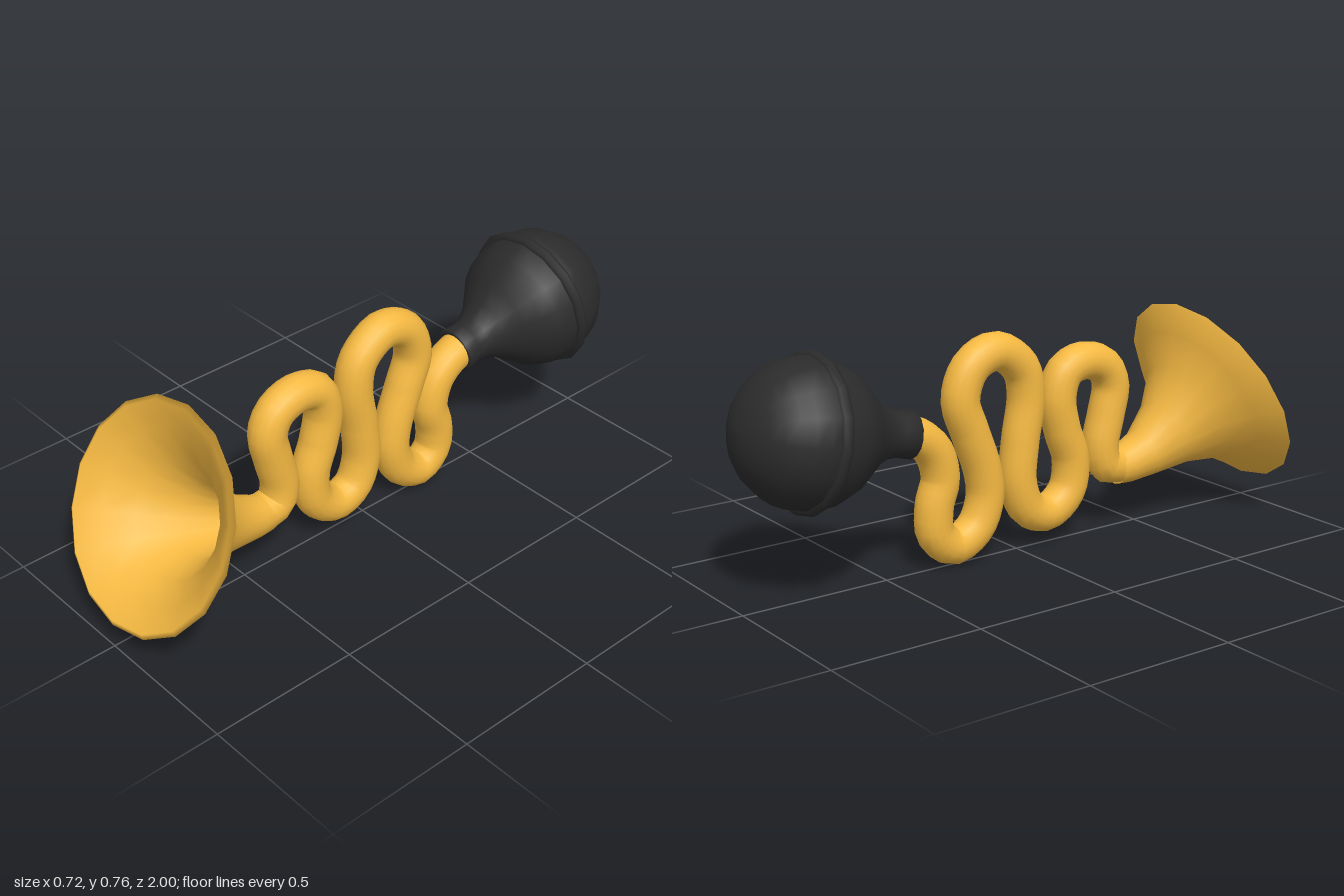
import * as THREE from 'three';

const brass = new THREE.MeshStandardMaterial({ color: 0xf5b942, side: THREE.DoubleSide });
const rubber = new THREE.MeshStandardMaterial({ color: 0x2b2b2b, side: THREE.DoubleSide });
const SIDES = 16;

// Skin round cross-sections [z, y, radius, tilt in degrees], listed from back to front
function loft(rings) {
  const pos = [], index = [];
  rings.forEach(([z, y, r, deg], i) => {
    const t = THREE.MathUtils.degToRad(deg);
    for (let j = 0; j < SIDES; j++) {
      const a = (j / SIDES) * Math.PI * 2, up = r * Math.sin(a);
      pos.push(r * Math.cos(a), y + up * Math.cos(t), z - up * Math.sin(t));
      if (i === rings.length - 1) continue;
      const k = (j + 1) % SIDES, p = i * SIDES, q = p + SIDES;
      index.push(p + j, p + k, q + j, p + k, q + k, q + j);
    }
  });
  const geo = new THREE.BufferGeometry();
  geo.setAttribute('position', new THREE.Float32BufferAttribute(pos, 3));
  geo.setIndex(index);
  geo.computeVertexNormals();
  return geo;
}

function add(parent, name, geometry, material) {
  const mesh = new THREE.Mesh(geometry, material);
  mesh.name = name;
  parent.add(mesh);
  return mesh;
}

export function createModel() {
  const group = new THREE.Group();
  group.name = 'bulbHorn';

  // Flared bell: outer skin, rolled lip, then the inner lining back to the throat
  add(group, 'bell', loft([
    [0.41, 0.213, 0.063, 0],
    [0.455, 0.216, 0.069, 10],
    [0.535, 0.237, 0.084, 22],
    [0.64, 0.29, 0.125, 28],
    [0.735, 0.347, 0.195, 28],
    [0.785, 0.385, 0.28, 27],
    [0.835, 0.41, 0.362, 27],
    [0.844, 0.414, 0.346, 27],
    [0.797, 0.391, 0.272, 27],
    [0.742, 0.352, 0.185, 28],
    [0.645, 0.294, 0.115, 28],
    [0.54, 0.24, 0.072, 22],
    [0.455, 0.216, 0.05, 10],
    [0.42, 0.213, 0.004, 0],
  ]), brass);

  // Winding tube, as z, y points along the centre line
  const path = [
    [0.43, 0.215], [0.365, 0.23], [0.347, 0.295], [0.37, 0.40], [0.388, 0.50], [0.355, 0.565],
    [0.275, 0.595], [0.195, 0.57], [0.165, 0.49], [0.185, 0.38], [0.222, 0.27], [0.205, 0.165],
    [0.125, 0.107], [0.045, 0.135], [0.006, 0.23], [0.015, 0.365], [0.038, 0.515], [0.015, 0.61],
    [-0.08, 0.675], [-0.175, 0.64], [-0.217, 0.54], [-0.18, 0.425], [-0.135, 0.30],
    [-0.125, 0.205], [-0.165, 0.11], [-0.25, 0.068], [-0.315, 0.12], [-0.32, 0.21],
    [-0.295, 0.30], [-0.32, 0.39], [-0.38, 0.445], [-0.46, 0.47],
  ].map(([z, y]) => new THREE.Vector3(0, y, z));
  add(group, 'windingTube',
    new THREE.TubeGeometry(new THREE.CatmullRomCurve3(path), 110, 0.0625, SIDES), brass);

  // Rubber squeeze bulb: its axis runs backward and slightly up from the neck
  const bulb = new THREE.Group();
  bulb.name = 'squeezeBulb';
  bulb.position.set(0, 0.46, -0.408);
  bulb.rotation.x = -Math.PI / 2 + THREE.MathUtils.degToRad(9.9);
  group.add(bulb);

  const R = 0.234, centre = 0.365;
  const profile = [
    [0.055, 0.004], [0.079, 0], [0.073, 0.05], [0.079, 0.09], [0.106, 0.14], [0.15, 0.19],
    [0.19, 0.235], [0.218, 0.285],
  ].map(([r, t]) => new THREE.Vector2(r, t));
  for (let i = 0; i <= 8; i++) {
    const a = (i / 8) * Math.PI / 2;
    profile.push(new THREE.Vector2(Math.max(0, R * Math.cos(a)), centre + R * Math.sin(a)));
  }
  add(bulb, 'bulbBody', new THREE.LatheGeometry(profile, SIDES), rubber);

  // Raised seam around the widest part
  const seam = add(bulb, 'bulbSeam', new THREE.TorusGeometry(0.227, 0.021, 8, SIDES), rubber);
  seam.position.y = centre;
  seam.rotation.x = Math.PI / 2;

  return group;
}
